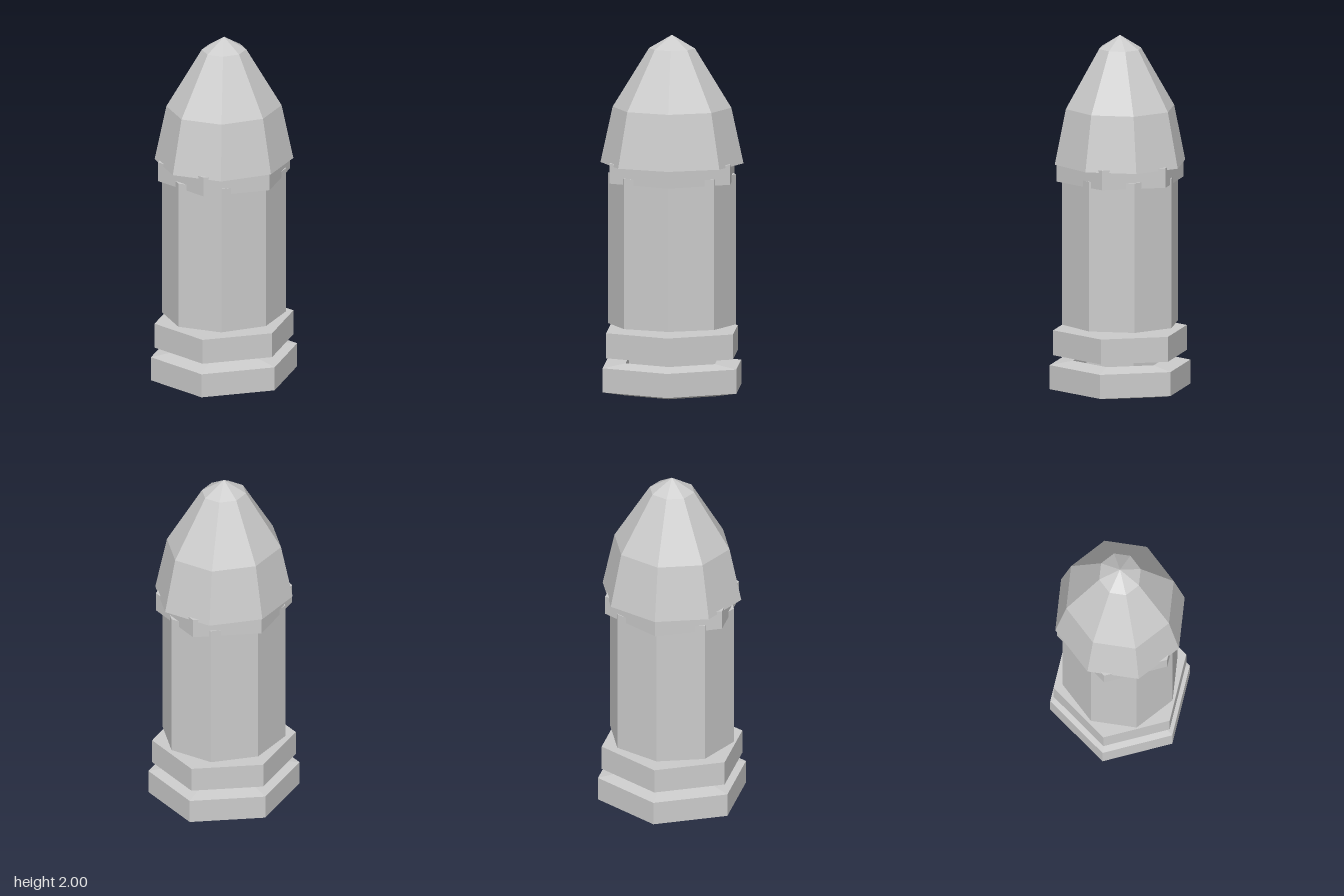
import * as THREE from 'three';

const STRETCH = 1.07; // the sections are slightly deeper than wide

// Faceted solid of revolution; profile runs from bottom to top as [radius, y]
function faceted(name, profile, sides) {
  const points = profile.map(([r, y]) => new THREE.Vector2(r, y));
  const geometry = new THREE.LatheGeometry(points, sides, Math.PI / 2)
    .scale(1, 1, STRETCH)
    .toNonIndexed();
  geometry.computeVertexNormals();
  const material = new THREE.MeshStandardMaterial({ color: 0xcccccc, flatShading: true });
  const mesh = new THREE.Mesh(geometry, material);
  mesh.name = name;
  return mesh;
}

// Closed straight prism profile
const prism = (r, y0, y1) => [[0, y0], [r, y0], [r, y1], [0, y1]];

export function createModel() {
  const model = new THREE.Group();
  model.name = 'bullet';

  model.add(
    // hexagonal nut with sloping faces around an open hole
    faceted('baseNut', [[0.267, 0], [0.4, 0.025], [0.4, 0.16], [0.267, 0.18], [0.267, 0]], 6),
    // floating hexagonal plate
    faceted('lowerPlate', prism(0.38, 0.215, 0.355), 6),
    // octagonal casing
    faceted('casing', prism(0.331, 0.385, 1.225), 8),
    // hexagonal collar between casing and nose
    faceted('collar', prism(0.361, 1.19, 1.3), 6),
    // octagonal pointed nose
    faceted('nose', [[0, 1.285], [0.371, 1.285], [0.308, 1.595], [0.119, 1.925], [0, 2]], 8)
  );
  return model;
}
